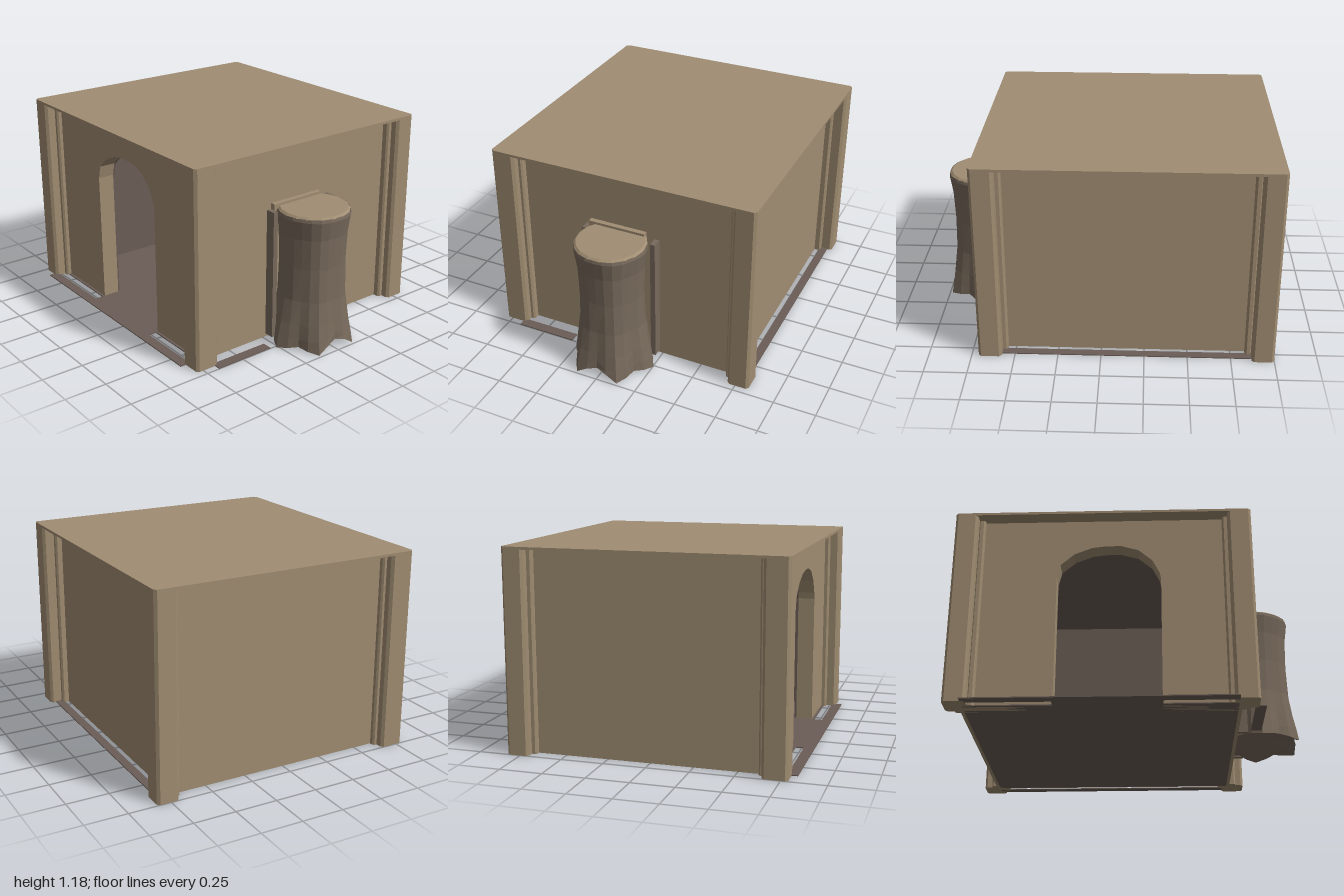
import * as THREE from 'three';

const TOP = 1.185;
const wallMat = new THREE.MeshStandardMaterial({ color: 0xa08d72, flatShading: true });
const innerMat = new THREE.MeshStandardMaterial({ color: 0x6b5d56, side: THREE.DoubleSide, flatShading: true });
const barkMat = new THREE.MeshStandardMaterial({ color: 0x786a5c, side: THREE.DoubleSide, flatShading: true });

function add(group, name, geometry, material) {
  const mesh = new THREE.Mesh(geometry, material);
  mesh.name = name;
  group.add(mesh);
  return mesh;
}

// Box given by its two opposite corners
function box(group, name, [x0, y0, z0], [x1, y1, z1], material) {
  const g = new THREE.BoxGeometry(x1 - x0, y1 - y0, z1 - z0);
  g.translate((x0 + x1) / 2, (y0 + y1) / 2, (z0 + z1) / 2);
  return add(group, name, g, material);
}

// Upright prism with chamfered corners, seen from above as x0..x1, z0..z1
function prism(group, name, x0, x1, z0, z1, y0, y1, c, material) {
  const pts = [
    [x0 + c, -z1], [x1 - c, -z1], [x1, -z1 + c], [x1, -z0 - c],
    [x1 - c, -z0], [x0 + c, -z0], [x0, -z0 - c], [x0, -z1 + c],
  ].map(([x, y]) => new THREE.Vector2(x, y));
  const g = new THREE.ExtrudeGeometry(new THREE.Shape(pts), { depth: y1 - y0, bevelEnabled: false });
  g.rotateX(-Math.PI / 2);
  g.translate(0, y0, 0);
  return add(group, name, g, material);
}

// Wall with an arched doorway cut up from the ground
function doorWall(group, name, x0, x1, z0, depth, y1, material) {
  const arch = [
    [-0.41, 0], [-0.41, 0.8], [-0.39, 0.88], [-0.31, 0.95], [-0.21, 0.99], [-0.13, 1], [-0.04, 1],
    [0.06, 0.97], [0.14, 0.9], [0.18, 0.82], [0.188, 0.78], [0.188, 0],
  ];
  const pts = [[x0, 0], ...arch, [x1, 0], [x1, y1], [x0, y1]];
  const shape = new THREE.Shape(pts.map(([x, y]) => new THREE.Vector2(x, y)));
  const g = new THREE.ExtrudeGeometry(shape, { depth, bevelEnabled: false });
  g.translate(0, 0, z0);
  return add(group, name, g, material);
}

// Hollow-rooted trunk built from rings of radius by height
function trunk(group) {
  const N = 24, cx = 0.76, cz = 0.005;
  const rings = [
    [0, 0.235, 0.024], [0.07, 0.228, 0.019], [0.16, 0.215, 0.013], [0.3, 0.196, 0.008],
    [0.5, 0.19, 0.005], [0.68, 0.196, 0.004], [0.79, 0.212, 0.003], [0.81, 0.208, 0.003],
  ];
  const pos = [], idx = [];
  rings.forEach(([y, r, lobe], k) => {
    for (let i = 0; i < N; i++) {
      const a = (i / N) * Math.PI * 2;
      const gap = (1 + Math.cos(6 * a)) / 2;
      const rr = r + lobe * (1 - 2 * gap);
      // Lift the bark between the roots; the outward one is a small arch
      const arch = i === 0 ? 0.06 : Math.min(i, N - i) === 1 ? 0.045 : 0.022 * gap;
      const lift = k === 0 ? arch : k === 1 && i === 0 ? 0.04 : 0;
      pos.push(cx + Math.cos(a) * rr, y + lift, cz + Math.sin(a) * rr);
    }
  });
  pos.push(cx, 0.09, cz);
  for (let k = 0; k < rings.length - 1; k++) {
    for (let i = 0; i < N; i++) {
      const a = k * N + i, b = k * N + ((i + 1) % N);
      idx.push(a, a + N, b, b, a + N, b + N);
    }
  }
  for (let i = 0; i < N; i++) idx.push(rings.length * N, i, (i + 1) % N);
  const g = new THREE.BufferGeometry();
  g.setAttribute('position', new THREE.Float32BufferAttribute(pos, 3));
  g.setIndex(idx);
  g.computeVertexNormals();
  add(group, 'trunk', g, barkMat);

  // Cut top face
  const cap = new THREE.CylinderGeometry(0.195, 0.208, 0.012, 18);
  cap.translate(cx, 0.814, cz);
  add(group, 'cutTop', cap, wallMat);
}

export function createModel() {
  const model = new THREE.Group();

  // Roof slab
  prism(model, 'roof', -1, 0.71, -0.83, 0.79, TOP - 0.015, TOP, 0.015, wallMat);

  // Corner posts, each with a narrow bead where it meets the walls
  const posts = new THREE.Group();
  posts.name = 'cornerPosts';
  model.add(posts);
  for (const left of [true, false]) {
    for (const front of [true, false]) {
      const [x0, x1] = left ? [0.575, 0.71] : [-1, -0.87];
      const [z0, z1] = front ? [0.645, 0.79] : [-0.83, -0.7];
      prism(posts, 'post', x0, x1, z0, z1, 0, TOP - 0.01, 0.015, wallMat);
      const bx = left ? 0.545 : -0.875, bz = front ? 0.62 : -0.715;
      const zb = front ? 0.68 : -0.76, xb = left ? 0.6 : -0.95;
      prism(posts, 'frontBead', bx, bx + 0.04, zb, zb + 0.05, 0, TOP - 0.01, 0.01, wallMat);
      prism(posts, 'sideBead', xb, xb + 0.06, bz, bz + 0.045, 0, TOP - 0.01, 0.01, wallMat);
    }
  }

  // Recessed outer walls
  doorWall(model, 'frontWall', -0.92, 0.62, 0.6, 0.1, TOP - 0.01, wallMat);
  box(model, 'backWall', [-0.92, 0, -0.72], [0.62, TOP - 0.01, -0.69], wallMat);
  box(model, 'leftWall', [0.6, 0, -0.72], [0.62, TOP - 0.01, 0.7], wallMat);
  box(model, 'rightWall', [-0.92, 0, -0.72], [-0.9, TOP - 0.01, 0.7], wallMat);

  // Room lining
  const room = new THREE.Group();
  room.name = 'roomLining';
  model.add(room);
  doorWall(room, 'frontLining', -0.9, 0.6, 0.59, 0.01, 1.165, innerMat);
  box(room, 'backLining', [-0.9, 0, -0.69], [0.6, 1.165, -0.67], innerMat);
  box(room, 'leftLining', [0.585, 0, -0.69], [0.6, 1.165, 0.6], innerMat);
  box(room, 'rightLining', [-0.9, 0, -0.69], [-0.89, 1.165, 0.6], innerMat);
  box(room, 'ceiling', [-0.9, 1.155, -0.69], [0.6, 1.168, 0.6], innerMat);

  // Floor with a doorstep and thin border strips set off from the walls
  const floor = new THREE.Group();
  floor.name = 'floor';
  model.add(floor);
  const strips = [
    [-0.9, 0.6, -0.71, 0.715], [-0.41, 0.19, 0.715, 0.765], [-0.9, 0.6, 0.765, 0.825],
    [-0.9, 0.6, -0.8, -0.75], [0.69, 0.75, 0.3, 0.67],
  ];
  for (const [x0, x1, z0, z1] of strips) {
    box(floor, 'floorPanel', [x0, 0, z0], [x1, 0.006, z1], innerMat);
  }

  // Tree stump grown into the left wall
  const stump = new THREE.Group();
  stump.name = 'treeStump';
  model.add(stump);
  trunk(stump);
  box(stump, 'topLedge', [0.61, 0.8, -0.15], [0.65, 0.835, 0.2], wallMat);
  for (const s of [1, -1]) {
    box(stump, 'sideRib', [0.61, 0.02, s * 0.215 - 0.015], [0.68, 0.8, s * 0.215 + 0.015], barkMat);
  }
  return model;
}
